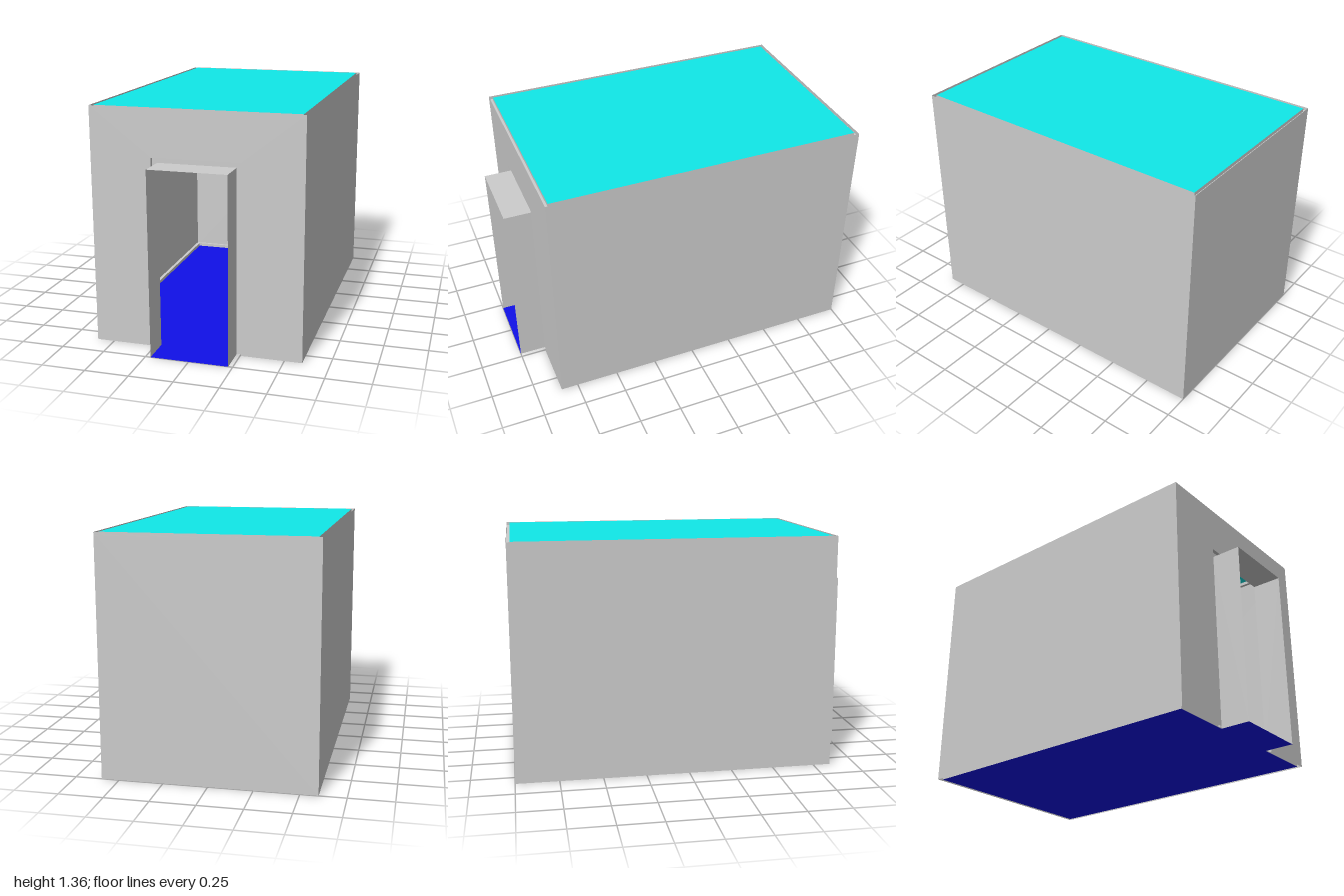
import * as THREE from 'three';

// Outer skin, and the inset line used by the grooves
const W = 0.6, H = 1.36, BACK = -1, FRONT = 0.85, PORCH = 1, G = 0.02;
const HOLE = { l: -0.25, r: 0.255, top: 1.09 };
const DOOR = { l: -0.22, r: 0.225, top: 1.06 };

const material = (color) =>
  new THREE.MeshStandardMaterial({ color, side: THREE.DoubleSide, flatShading: true });

function shapeOf(points) {
  return new THREE.ShapeGeometry(new THREE.Shape(points.map(([x, y]) => new THREE.Vector2(x, y))));
}

// Sweeps a profile of [useOuter, height] along matching outer and inner corner paths
function sweep(outer, inner, profile, place) {
  const pos = [], index = [], n = profile.length;
  outer.forEach((o, i) => {
    for (const [useOuter, h] of profile) pos.push(...place(useOuter ? o : inner[i], h));
  });
  for (let i = 0; i < outer.length - 1; i++) {
    for (let j = 0; j < n - 1; j++) {
      const a = i * n + j, b = a + n;
      index.push(a, b, a + 1, b, b + 1, a + 1);
    }
  }
  const geo = new THREE.BufferGeometry();
  geo.setAttribute('position', new THREE.Float32BufferAttribute(pos, 3));
  geo.setIndex(index);
  const flat = geo.toNonIndexed();
  flat.computeVertexNormals();
  return flat;
}

export function createModel() {
  const group = new THREE.Group();
  const grey = material(0xcccccc);
  const add = (name, geometry, mat = grey) => {
    const mesh = new THREE.Mesh(geometry, mat);
    mesh.name = name;
    group.add(mesh);
  };
  const upright = ([x, z], h) => [x, h, z];
  const facing = ([x, y], h) => [x, y, h];
  const wi = W - G, bi = BACK + G, fi = FRONT - G;

  // Side and back walls
  const around = [[W, FRONT], [W, BACK], [-W, BACK], [-W, FRONT]];
  const aroundIn = [[wi, fi], [wi, bi], [-wi, bi], [-wi, fi]];
  add('sideAndBackWalls', sweep(around, aroundIn, [[true, 0], [true, H]], upright));

  // Front wall with doorway
  const front = shapeOf([
    [-W, 0], [HOLE.l, 0], [HOLE.l, HOLE.top], [HOLE.r, HOLE.top],
    [HOLE.r, 0], [W, 0], [W, H], [-W, H],
  ]);
  add('frontWall', front.translate(0, 0, FRONT));

  // Groove round the roof, closed all the way
  add('roofGroove', sweep([...around, around[0]], [...aroundIn, aroundIn[0]],
    [[true, H], [true, H - G], [false, H - G], [false, H]], upright));

  // Groove round the floor, stopping at the doorway
  add('floorGroove', sweep(
    [[HOLE.r, FRONT], ...around, [HOLE.l, FRONT]],
    [[HOLE.r, fi], ...aroundIn, [HOLE.l, fi]],
    [[true, 0], [true, G], [false, G], [false, 0]], upright));

  // Doorway groove running out into the porch sides and top
  const arch = (d) => [[d.l, 0], [d.l, d.top], [d.r, d.top], [d.r, 0]];
  add('porch', sweep(arch(HOLE), arch(DOOR),
    [[true, FRONT], [true, fi], [false, fi], [false, PORCH]], facing));

  // Roof panel
  const roof = shapeOf([[-wi, bi], [wi, bi], [wi, fi], [-wi, fi]]);
  add('roofPanel', roof.rotateX(Math.PI / 2).translate(0, H, 0), material(0x10e8e8));

  // Floor, carried on through the porch
  const floor = shapeOf([
    [-wi, bi], [wi, bi], [wi, fi], [DOOR.r, fi],
    [DOOR.r, PORCH], [DOOR.l, PORCH], [DOOR.l, fi], [-wi, fi],
  ]);
  add('floor', floor.rotateX(Math.PI / 2), material(0x1010e8));

  return group;
}
